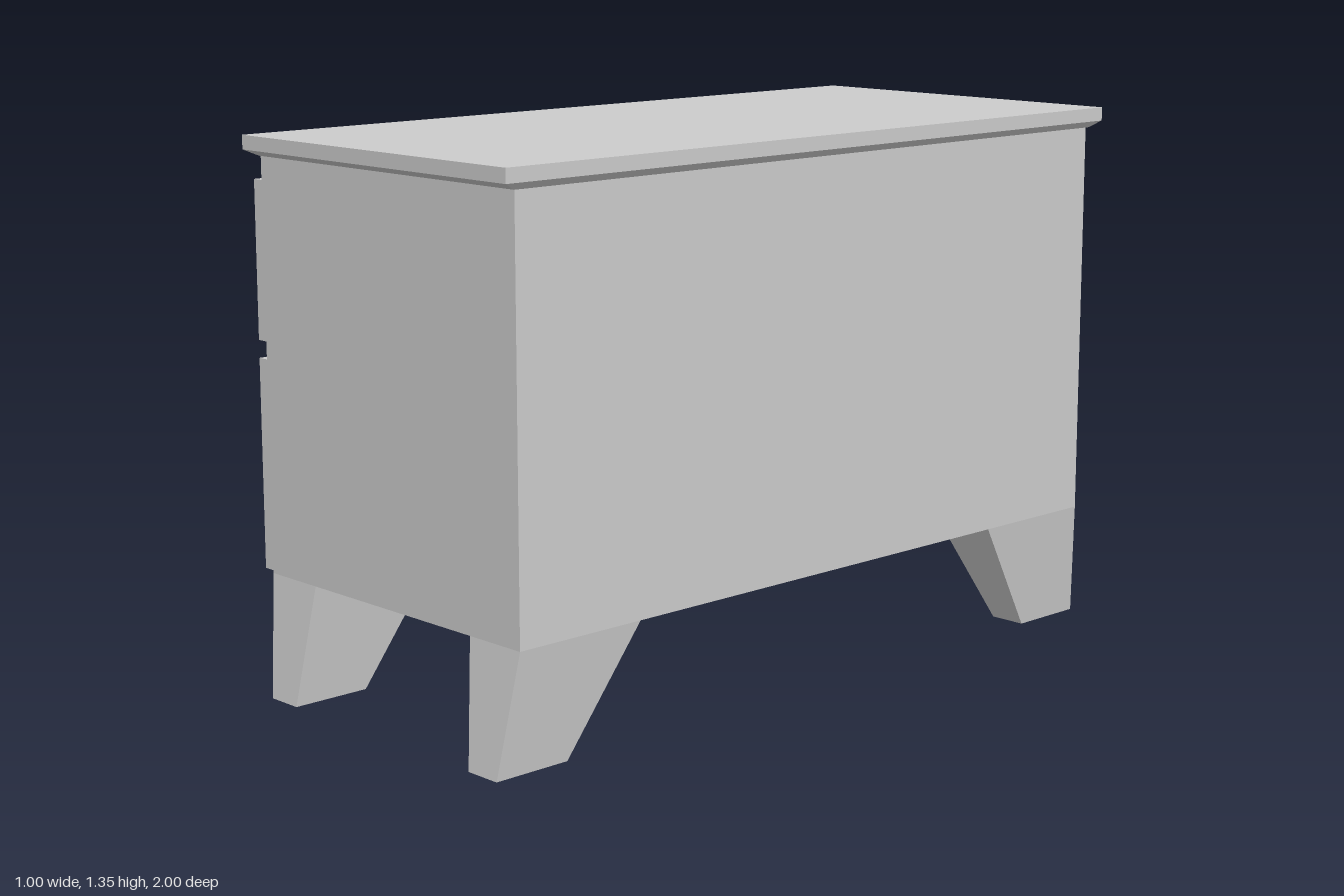
import * as THREE from 'three';

const material = new THREE.MeshStandardMaterial({ color: 0xcccccc, flatShading: true });

// Six-sided block between two heights; each rectangle is [x0, x1, z0, z1].
function block(name, y0, y1, bottom, top = bottom) {
  const geometry = new THREE.BoxGeometry(1, 1, 1);
  const p = geometry.attributes.position;
  for (let i = 0; i < p.count; i++) {
    const r = p.getY(i) > 0 ? top : bottom;
    p.setXYZ(i, p.getX(i) > 0 ? r[1] : r[0], p.getY(i) > 0 ? y1 : y0, p.getZ(i) > 0 ? r[3] : r[2]);
  }
  geometry.computeVertexNormals();
  const mesh = new THREE.Mesh(geometry, material);
  mesh.name = name;
  return mesh;
}

export function createModel() {
  const model = new THREE.Group();
  model.name = 'chestOfDrawers';

  // Cabinet and top board with a bevelled underside
  const topRect = [-0.445, 0.5, -1, 1];
  model.add(
    block('cabinet', 0.295, 1.3, [-0.43, 0.48, -0.96, 0.96]),
    block('topBevel', 1.297, 1.313, [-0.43, 0.485, -0.965, 0.965], topRect),
    block('topBoard', 1.313, 1.347, topRect),
  );

  // Drawer fronts on the -x side, each with a long bar handle
  const drawers = [
    { name: 'lowerDrawer', y0: 0.302, y1: 0.815, handleY: 0.6 },
    { name: 'upperDrawer', y0: 0.858, y1: 1.24, handleY: 1.067 },
  ];
  for (const { name, y0, y1, handleY } of drawers) {
    model.add(
      block(name + 'Front', y0, y1, [-0.46, -0.43, -0.96, 0.96]),
      block(name + 'Handle', handleY - 0.03, handleY + 0.03, [-0.5, -0.46, -0.58, 0.58]),
    );
  }

  // Tapered legs splaying outward along z
  for (const [xName, bottomX, topX] of [
    ['drawerSide', [-0.39, -0.295], [-0.43, -0.26]],
    ['plainSide', [0.347, 0.443], [0.31, 0.48]],
  ]) {
    for (const side of [-1, 1]) {
      const span = (a, b) => (side > 0 ? [a, b] : [-b, -a]);
      model.add(block(
        `${xName}Leg${side > 0 ? 'Front' : 'Back'}`, 0, 0.295,
        [...bottomX, ...span(0.795, 1)],
        [...topX, ...span(0.605, 0.96)],
      ));
    }
  }
  return model;
}
